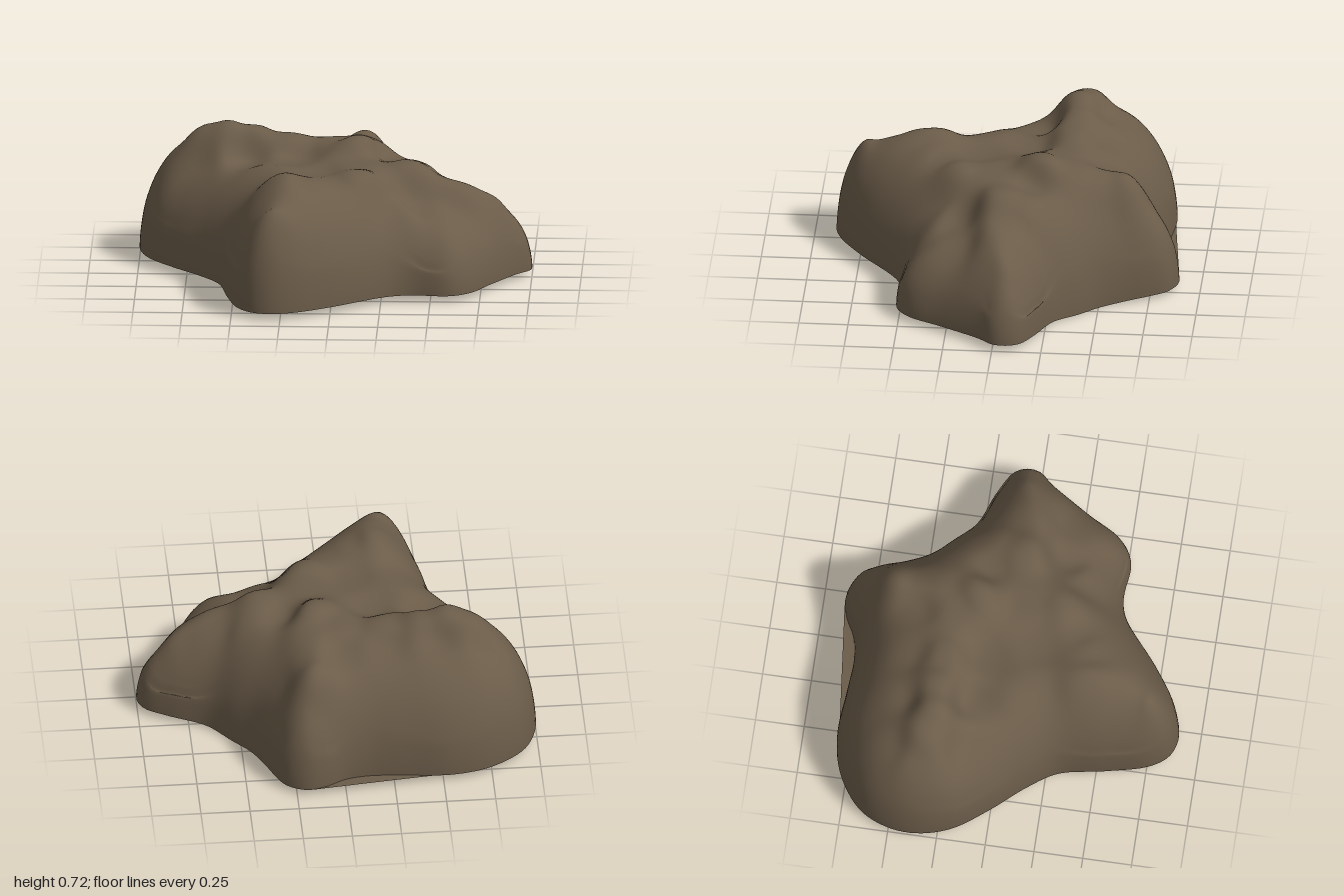
import * as THREE from 'three';

// Plan outline of the boulder (x, z), counter-clockwise seen from above
const OUTLINE = [
  [1, -0.07], [0.97, -0.14], [0.85, -0.21], [0.66, -0.29], [0.55, -0.4], [0.46, -0.5], [0.4, -0.62],
  [0.35, -0.75], [0.3, -0.84], [0.2, -0.89], [0.1, -0.87], [0, -0.82], [-0.13, -0.8], [-0.3, -0.81],
  [-0.55, -0.825], [-0.75, -0.775], [-0.92, -0.65], [-0.99, -0.5], [-1, -0.35], [-0.95, -0.18],
  [-0.82, 0], [-0.68, 0.16], [-0.58, 0.31], [-0.53, 0.55], [-0.47, 0.77], [-0.4, 0.86], [-0.3, 0.89],
  [-0.18, 0.86], [0, 0.75], [0.28, 0.54], [0.4, 0.505], [0.6, 0.515], [0.7, 0.45], [0.8, 0.28],
  [0.93, 0.07], [0.99, 0],
];

// Crests and hollows of the top (x, z, height)
const RELIEF = [
  // back right lobe: a crest along its front, sloping down to the back
  [-0.55, -0.33, 0.73], [-0.68, -0.36, 0.71], [-0.42, -0.33, 0.7], [-0.85, -0.4, 0.66], [-0.25, -0.32, 0.66],
  [-0.75, -0.53, 0.61], [-0.5, -0.5, 0.6], [-0.25, -0.5, 0.59], [-0.55, -0.65, 0.6], [-0.25, -0.65, 0.6],
  // hollow in front of that crest
  [-0.45, -0.16, 0.53], [-0.2, -0.12, 0.56], [-0.7, -0.12, 0.56],
  // back lobe and centre
  [0, -0.5, 0.58], [0.18, -0.78, 0.57], [0.17, -0.64, 0.68], [0.17, -0.5, 0.63], [0.15, -0.38, 0.64],
  [0.12, -0.2, 0.69], [0, -0.3, 0.64], [0.27, -0.15, 0.56], [0.34, -0.55, 0.58], [0.42, -0.33, 0.6],
  // left lobe and the dished slope in front of it
  [0.38, 0, 0.61], [0.45, -0.17, 0.6], [0.6, -0.02, 0.53], [0.6, -0.13, 0.54], [0.8, -0.05, 0.52],
  [0.92, -0.06, 0.46], [0.45, 0.23, 0.42], [0.62, 0.22, 0.42], [0.32, 0.34, 0.5], [0.6, 0.38, 0.43],
  // front lobe
  [0.12, 0.06, 0.6], [0.12, 0.25, 0.62], [0, 0.33, 0.58], [-0.08, 0.15, 0.57], [-0.35, 0.15, 0.59],
  [-0.27, 0.43, 0.66], [-0.3, 0.63, 0.63], [-0.3, 0.8, 0.72], [-0.1, 0.42, 0.61],
];

const CENTRE = [-0.1, -0.1];
const SEGMENTS = 180, RINGS = 48;

// The lower edge sags towards the back left
const baseY = (x, z) => 0.035 - 0.035 * Math.exp(-((x - 0.5) ** 2 + (z + 0.45) ** 2) / 0.1);

function reliefHeight(x, z) {
  let sum = 0, total = 0;
  for (const [px, pz, h] of RELIEF) {
    const w = 1 / ((x - px) ** 2 + (z - pz) ** 2 + 0.006) ** 2;
    sum += w * h;
    total += w;
  }
  return sum / total;
}

// Softened distance to the rim, so that the sides blend without creases
function rimDistance(x, z, rim, spacing) {
  let sum = 0;
  for (const p of rim) sum += spacing / ((x - p.x) ** 2 + (z - p.z) ** 2) ** 4;
  return sum ** (-1 / 7);
}

function makeGeometry(positions, index) {
  const geometry = new THREE.BufferGeometry();
  geometry.setAttribute('position', new THREE.Float32BufferAttribute(positions, 3));
  geometry.setIndex(index);
  geometry.computeVertexNormals();
  return geometry;
}

// Rounded sides and folded top: concentric rings from the centre to the rim
function rockGeometry(rim, spacing) {
  const positions = [CENTRE[0], reliefHeight(...CENTRE), CENTRE[1]];
  const index = [];
  for (let r = 1; r <= RINGS; r++) {
    const t = Math.sin((r / RINGS) * Math.PI / 2);
    for (let j = 0; j < SEGMENTS; j++) {
      const p = rim[j];
      const x = CENTRE[0] + (p.x - CENTRE[0]) * t;
      const z = CENTRE[1] + (p.z - CENTRE[1]) * t;
      const d = r === RINGS ? 0 : Math.min(1, rimDistance(x, z, rim, spacing) / 0.4);
      const dome = Math.sqrt(1 - (1 - d) ** 2);
      const base = baseY(x, z);
      positions.push(x, base + (reliefHeight(x, z) - base) * dome, z);
      const k = (j + 1) % SEGMENTS, outer = 1 + (r - 1) * SEGMENTS, inner = outer - SEGMENTS;
      if (r === 1) index.push(0, outer + j, outer + k);
      else index.push(inner + j, outer + j, outer + k, inner + j, outer + k, inner + k);
    }
  }
  return makeGeometry(positions, index);
}

// Underside, bridging the shallow notch at the back
function undersideGeometry(rim) {
  const positions = [CENTRE[0], 0.03, CENTRE[1]];
  const index = [];
  rim.forEach((p, j) => {
    let z = p.z;
    if (z < -0.7 && p.x > -0.45 && p.x < 0.18) z = Math.min(z, -0.825 - 0.106 * (p.x + 0.45));
    positions.push(p.x, baseY(p.x, p.z), z);
    index.push(0, 1 + (j + 1) % SEGMENTS, 1 + j);
  });
  return makeGeometry(positions, index);
}

export function createModel() {
  const stone = new THREE.MeshStandardMaterial({ color: 0x6b5c49, side: THREE.DoubleSide });
  stone.name = 'brown stone';

  const curve = new THREE.CatmullRomCurve3(OUTLINE.map(([x, z]) => new THREE.Vector3(x, 0, z)), true);
  const rim = curve.getSpacedPoints(SEGMENTS).slice(0, SEGMENTS);

  const group = new THREE.Group();
  group.name = 'boulder';
  const body = new THREE.Mesh(rockGeometry(rim, curve.getLength() / SEGMENTS), stone);
  body.name = 'rockBody';
  const underside = new THREE.Mesh(undersideGeometry(rim), stone);
  underside.name = 'underside';
  group.add(body, underside);
  return group;
}
